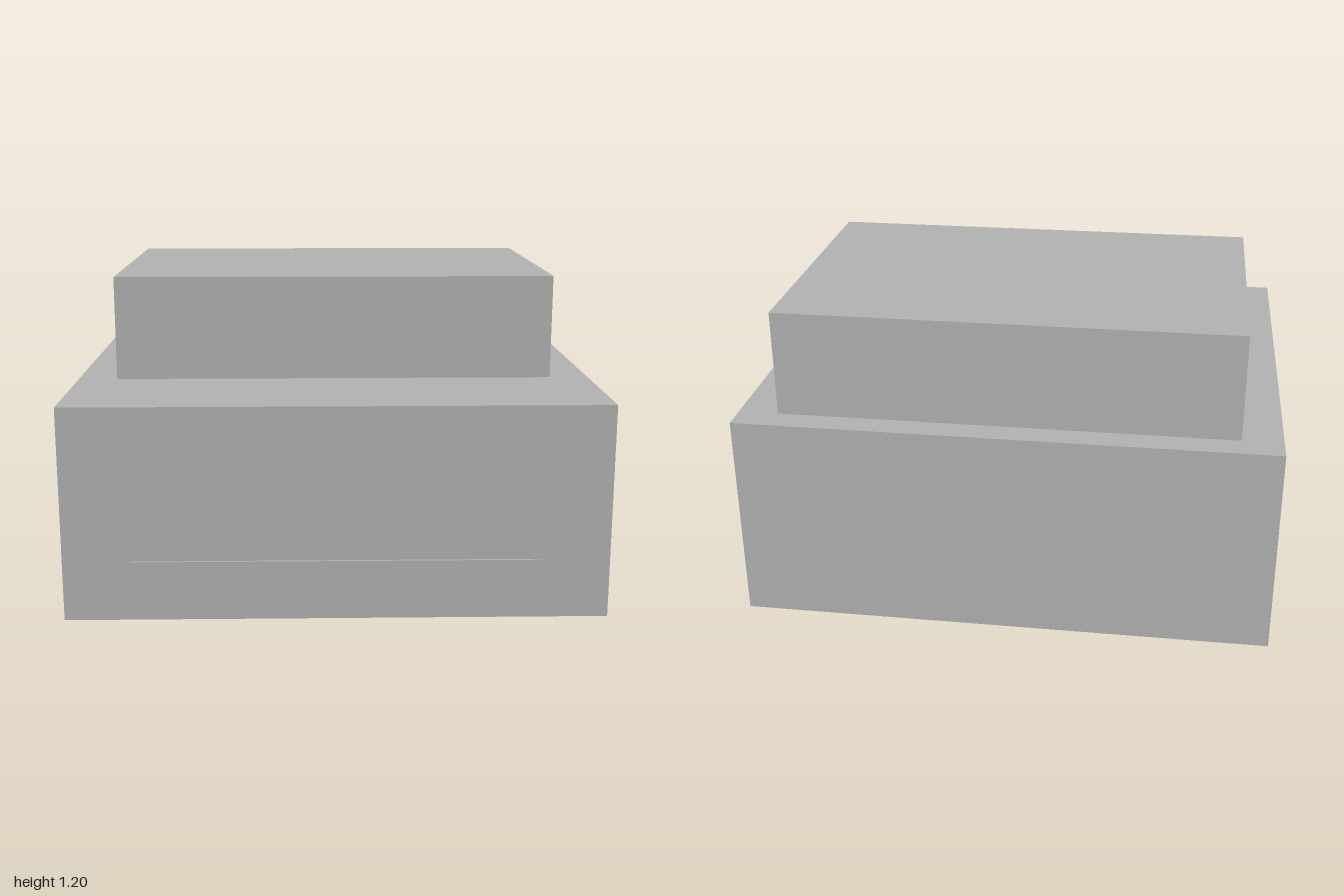
import * as THREE from 'three';

export function createModel() {
  const model = new THREE.Group();
  model.name = 'steppedCabinet';

  const grey = new THREE.MeshStandardMaterial({ color: 0xb2b2b2 });
  grey.name = 'plain grey';

  // Box given by its extents along each axis
  function addBox(name, [x0, x1], [y0, y1], [z0, z1]) {
    const mesh = new THREE.Mesh(new THREE.BoxGeometry(x1 - x0, y1 - y0, z1 - z0), grey);
    mesh.position.set((x0 + x1) / 2, (y0 + y1) / 2, (z0 + z1) / 2);
    mesh.name = name;
    model.add(mesh);
  }

  // Wide lower body
  addBox('lowerBody', [-1, 1], [0, 0.8], [-0.855, 0.845]);
  // Narrower block set towards the back
  addBox('upperBlock', [-0.85, 0.85], [0.8, 1.2], [-0.755, 0.345]);
  // Thin raised strip low on the front
  addBox('frontStrip', [-0.75, 0.75], [0.153, 0.225], [0.845, 0.855]);

  return model;
}
